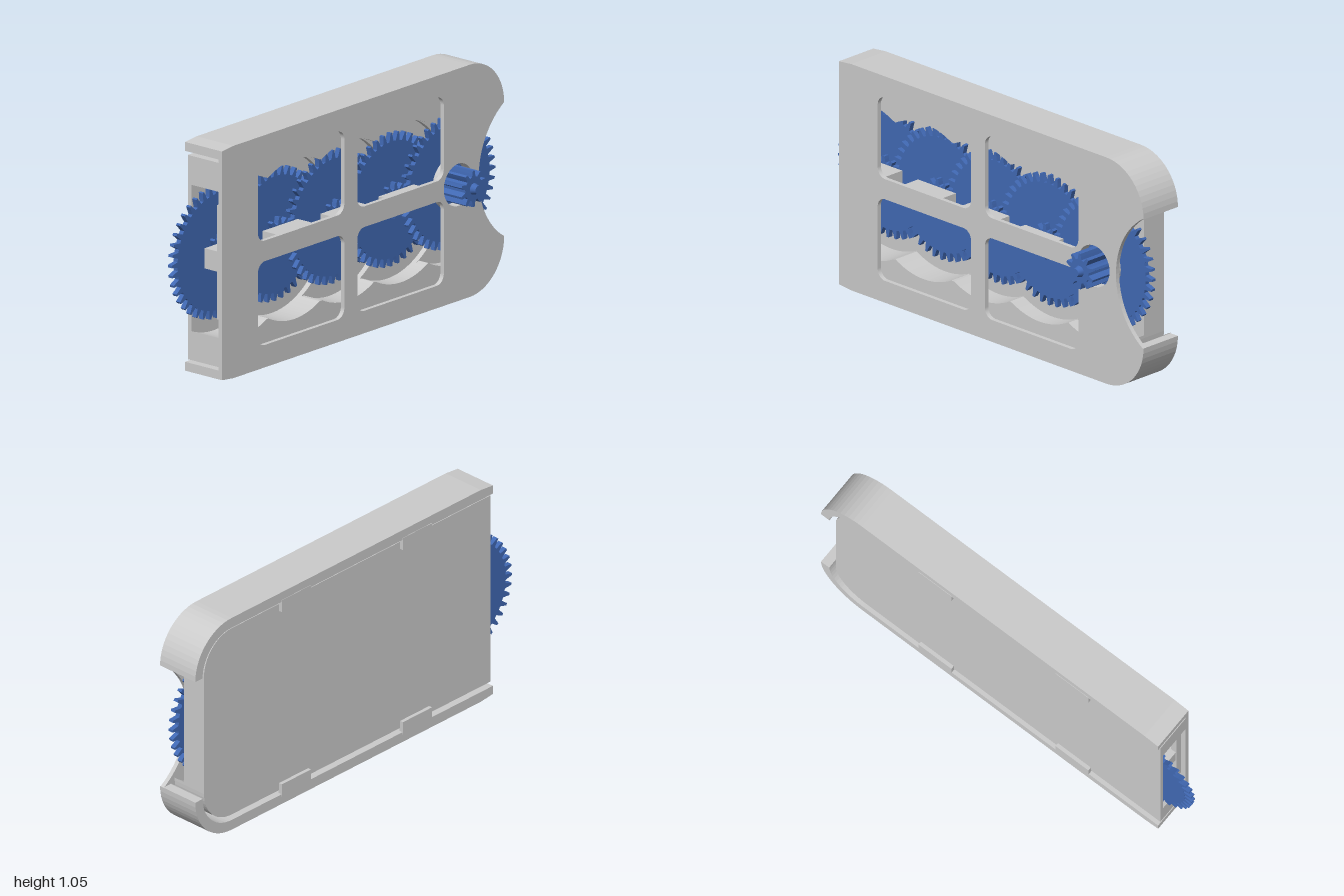
import * as THREE from 'three';

const CY = 0.522, TOP = 1.045, LEFT = -0.845, TRAY_RIGHT = 0.93;
const PLATE_BACK = 0.03, PLATE_FRONT = 0.05, BACK = -0.16, STEP = 0.025;
const GEAR_X = [0.7, 0.35, 0, -0.35, -0.7];   // each gear sits one step further back

const grey = new THREE.MeshStandardMaterial({ color: 0xcccccc, side: THREE.DoubleSide });
const blue = new THREE.MeshStandardMaterial({ color: 0x4169b4 });

export function createModel() {
  const model = new THREE.Group();

  function add(name, geometry, material = grey) {
    const mesh = new THREE.Mesh(geometry, material);
    mesh.name = name;
    model.add(mesh);
    return mesh;
  }
  function extrude(shape, z0, z1) {
    const g = new THREE.ExtrudeGeometry(shape, { depth: z1 - z0, bevelEnabled: false, curveSegments: 24 });
    return g.translate(0, 0, z0);
  }
  function box(name, x0, x1, y0, y1, z0, z1) {
    const g = new THREE.BoxGeometry(x1 - x0, y1 - y0, z1 - z0);
    add(name, g.translate((x0 + x1) / 2, (y0 + y1) / 2, (z0 + z1) / 2));
  }
  // Shape from points given as offsets from the centre line; side flips it top to bottom
  const halfShape = (pts, side) => new THREE.Shape(pts.map(([x, h]) => new THREE.Vector2(x, CY + side * h)));
  // Quarter turn from the top edge to the right edge
  function corner(x, h, r, n = 14) {
    return Array.from({ length: n + 1 }, (_, i) => {
      const a = (Math.PI / 2) * (1 - i / n);
      return [x - r + r * Math.cos(a), h - r + r * Math.sin(a)];
    });
  }
  function roundedHole(x0, x1, y0, y1, r) {
    const p = new THREE.Path();
    p.moveTo(x0 + r, y0);
    p.lineTo(x1 - r, y0).absarc(x1 - r, y0 + r, r, -Math.PI / 2, 0);
    p.lineTo(x1, y1 - r).absarc(x1 - r, y1 - r, r, 0, Math.PI / 2);
    p.lineTo(x0 + r, y1).absarc(x0 + r, y1 - r, r, Math.PI / 2, Math.PI);
    p.lineTo(x0, y0 + r).absarc(x0 + r, y0 + r, r, Math.PI, Math.PI * 1.5);
    return p;
  }
  function circleHole(x, r) {
    const p = new THREE.Path();
    p.absarc(x, CY, r, 0, Math.PI * 2);
    return p;
  }

  // Outer edge of the case, top half, left to right
  const outerEdge = [[LEFT, 0.515], [-0.77, TOP - CY], ...corner(1, TOP - CY, 0.225)];

  // Front plate with a thumb notch, four windows and a hole for the drive pinion
  const notch = [];
  for (let i = 0; i <= 32; i++) {
    const a = 1.003 * (1 - i / 16);
    notch.push([1.19 - 0.357 * Math.cos(a), 0.357 * Math.sin(a)]);
  }
  const lowerEdge = outerEdge.map(([x, h]) => [x, -h]).reverse();
  const plate = halfShape([...outerEdge, ...notch, ...lowerEdge], 1);
  for (const [x0, x1] of [[-0.61, -0.045], [0.04, 0.605]])
    for (const [y0, y1] of [[0.1, 0.477], [0.57, 0.947]])
      plate.holes.push(roundedHole(x0, x1, y0, y1, 0.045));
  plate.holes.push(circleHole(0.7, 0.095));
  add('frontPlate', extrude(plate, PLATE_BACK, PLATE_FRONT));

  // Ring around the drive pinion, behind the plate
  const ring = new THREE.Shape().absarc(0.7, CY, 0.115, 0, Math.PI * 2);
  ring.holes.push(circleHole(0.7, 0.095));
  add('pinionRing', extrude(ring, 0.002, PLATE_BACK));

  // Case walls along top and bottom, curling round the right corners
  const innerEdge = [[LEFT, 0.475], ...corner(0.955, 0.475, 0.18)];
  innerEdge.push([0.955, 0.298]);
  const wall = [...outerEdge, ...innerEdge.reverse()];
  const trayEdge = [[LEFT, 0.46], ...corner(TRAY_RIGHT, 0.46, 0.17)];

  // Half height of the gear pocket at x, for the gears reaching this layer
  function pocket(x, centres) {
    return Math.max(0, ...centres.map(c => Math.sqrt(Math.max(0, 0.36 ** 2 - (x - c) ** 2))));
  }
  for (const side of [1, -1]) {
    add(side > 0 ? 'topWall' : 'bottomWall', extrude(halfShape(wall, side), BACK, PLATE_BACK));

    // Stepped tray, one scalloped layer per gear level
    GEAR_X.forEach((_, k) => {
      const scallops = [];
      for (let i = 0; i <= 110; i++) {
        const x = TRAY_RIGHT + (LEFT - TRAY_RIGHT) * i / 110;
        scallops.push([x, pocket(x, GEAR_X.slice(k))]);
      }
      const z1 = k === 0 ? PLATE_BACK : -STEP * k;
      add('trayLayer', extrude(halfShape([...trayEdge, ...scallops], side), -STEP * (k + 1), z1));
    });

    // Snap tabs over the back cover
    for (const x of [-0.375, 0.375]) {
      const h = [CY + side * 0.425, CY + side * 0.485].sort((a, b) => a - b);
      box('snapTab', x - 0.09, x + 0.09, h[0], h[1], -0.162, -0.14);
    }
  }

  // Back cover
  const cover = [...trayEdge, ...trayEdge.map(([x, h]) => [x, -h]).reverse()];
  add('backCover', extrude(halfShape(cover, 1), -0.145, -0.125));

  // Upright rib at the open left end
  box('endRib', -0.82, -0.79, 0.265, 0.78, 0, PLATE_BACK);

  // Spur gear outline extruded between two depths
  function gear(name, x, teeth, root, tip, z0, z1, phase = 0) {
    const pts = [];
    for (let i = 0; i < teeth; i++)
      for (const [t, r] of [[-0.32, root], [-0.2, (root + tip) / 2], [-0.11, tip],
        [0.11, tip], [0.2, (root + tip) / 2], [0.32, root]]) {
        const a = (i + t + phase) / teeth * Math.PI * 2;
        pts.push(new THREE.Vector2(x + r * Math.cos(a), CY + r * Math.sin(a)));
      }
    add(name, extrude(new THREE.Shape(pts), z0, z1), blue);
  }

  // Gear train: big wheel with a pinion in front that meshes with the next wheel
  GEAR_X.forEach((x, k) => {
    const front = -STEP * k;
    gear('wheel', x, 40, 0.262, 0.3, front - STEP + 0.001, front - 0.001);
    gear('pinion', x, 10, 0.055, 0.082, front - 0.001, k === 0 ? 0.138 : front + STEP - 0.001, 0.5);
    // Spacer on the cross bar that holds the gear down
    if (k > 0) box('spacer', Math.max(x - 0.115, LEFT), x + 0.115, 0.478, 0.569, front + STEP, PLATE_BACK);
  });

  // Drive shaft tip
  const tip = new THREE.CylinderGeometry(0.018, 0.026, 0.026, 16).rotateX(Math.PI / 2);
  add('shaftTip', tip.translate(0.7, CY, 0.15), blue);

  return model;
}
